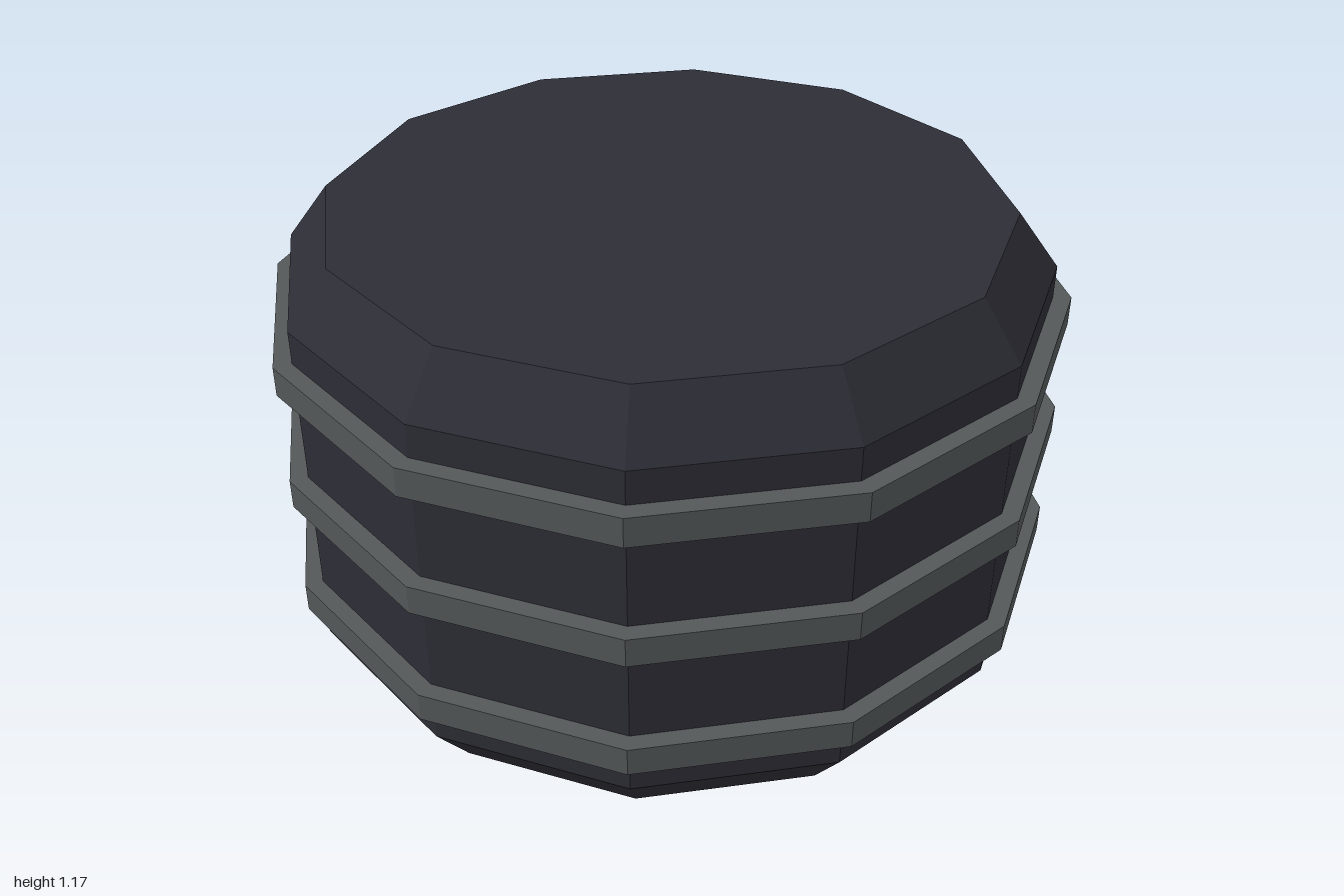
import * as THREE from 'three';

const SIDES = 12;
const HEIGHT = 1.17;

export function createModel() {
  const model = new THREE.Group();
  model.name = 'bandedBarrel';

  const shell = new THREE.MeshStandardMaterial({ color: 0x2d2d36, flatShading: true });
  shell.name = 'dark shell';
  const metal = new THREE.MeshStandardMaterial({ color: 0x535858, flatShading: true });
  metal.name = 'grey metal';

  // Twelve-sided drum with bevelled top and bottom rims
  const profile = [
    [0, 0], [0.85, 0], [0.955, 0.14],
    [0.955, HEIGHT - 0.14], [0.85, HEIGHT], [0, HEIGHT],
  ].map(([r, y]) => new THREE.Vector2(r, y));
  const body = new THREE.Mesh(new THREE.LatheGeometry(profile, SIDES), shell);
  body.name = 'body';
  model.add(body);

  // Three raised hoops around the drum
  const hoopProfile = [[0.94, -0.0375], [1, -0.0375], [1, 0.0375], [0.94, 0.0375]]
    .map(([r, y]) => new THREE.Vector2(r, y));
  const hoopGeometry = new THREE.LatheGeometry(hoopProfile, SIDES);
  ['lowerHoop', 'middleHoop', 'upperHoop'].forEach((name, i) => {
    const hoop = new THREE.Mesh(hoopGeometry, metal);
    hoop.name = name;
    hoop.position.y = 0.268 + i * 0.32;
    model.add(hoop);
  });

  return model;
}
